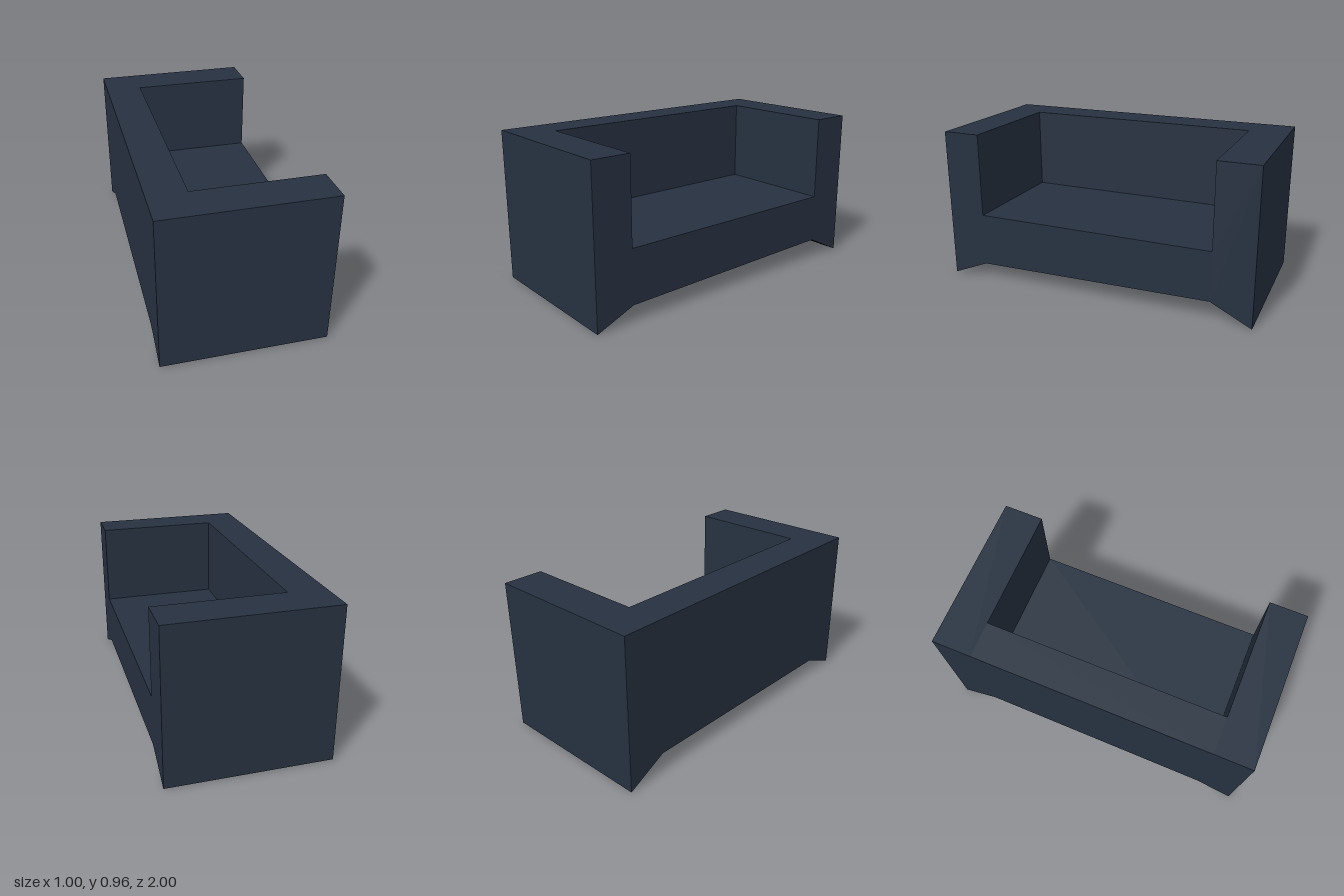
import * as THREE from 'three';

const DEPTH = 1, HEIGHT = 0.96, SEAT = 0.435;
const BACK_X = -0.27;            // front face of the backrest
const ARM_A = 0.76, ARM_B = -0.75; // inner faces of the two arms (z)

function material(name, color) {
  const m = new THREE.MeshStandardMaterial({ color });
  m.name = name;
  return m;
}

export function createModel() {
  const sofa = new THREE.Group();
  sofa.name = 'sofa';
  const fabric = material('dark slate fabric', 0x263140);
  const lining = material('black underside', 0x040404);

  // Arms, seat and flared feet: one section (z, y) extruded from back to front
  const section = [
    [1, 0], [ARM_A, 0.1], [ARM_B, 0.125], [-1, 0],
    [-1, HEIGHT], [ARM_B, HEIGHT], [ARM_B, SEAT],
    [ARM_A, SEAT], [ARM_A, HEIGHT], [1, HEIGHT],
  ];
  const shape = new THREE.Shape(section.map(([z, y]) => new THREE.Vector2(-z, y)));
  const bodyGeometry = new THREE.ExtrudeGeometry(shape, { depth: DEPTH, bevelEnabled: false });
  bodyGeometry.rotateY(Math.PI / 2).translate(-DEPTH / 2, 0, 0);

  // Faces that point down take the black underside
  const normal = bodyGeometry.attributes.normal;
  bodyGeometry.clearGroups();
  for (let i = 0; i < normal.count; i += 3) {
    bodyGeometry.addGroup(i, 3, normal.getY(i) < -0.5 ? 1 : 0);
  }
  const body = new THREE.Mesh(bodyGeometry, [fabric, lining]);
  body.name = 'seatAndArms';
  sofa.add(body);

  // Backrest between the arms
  const thickness = BACK_X + DEPTH / 2;
  const back = new THREE.Mesh(
    new THREE.BoxGeometry(thickness, HEIGHT - SEAT, ARM_A - ARM_B), fabric);
  back.position.set(BACK_X - thickness / 2, (HEIGHT + SEAT) / 2, (ARM_A + ARM_B) / 2);
  back.name = 'backrest';
  sofa.add(back);

  return sofa;
}
